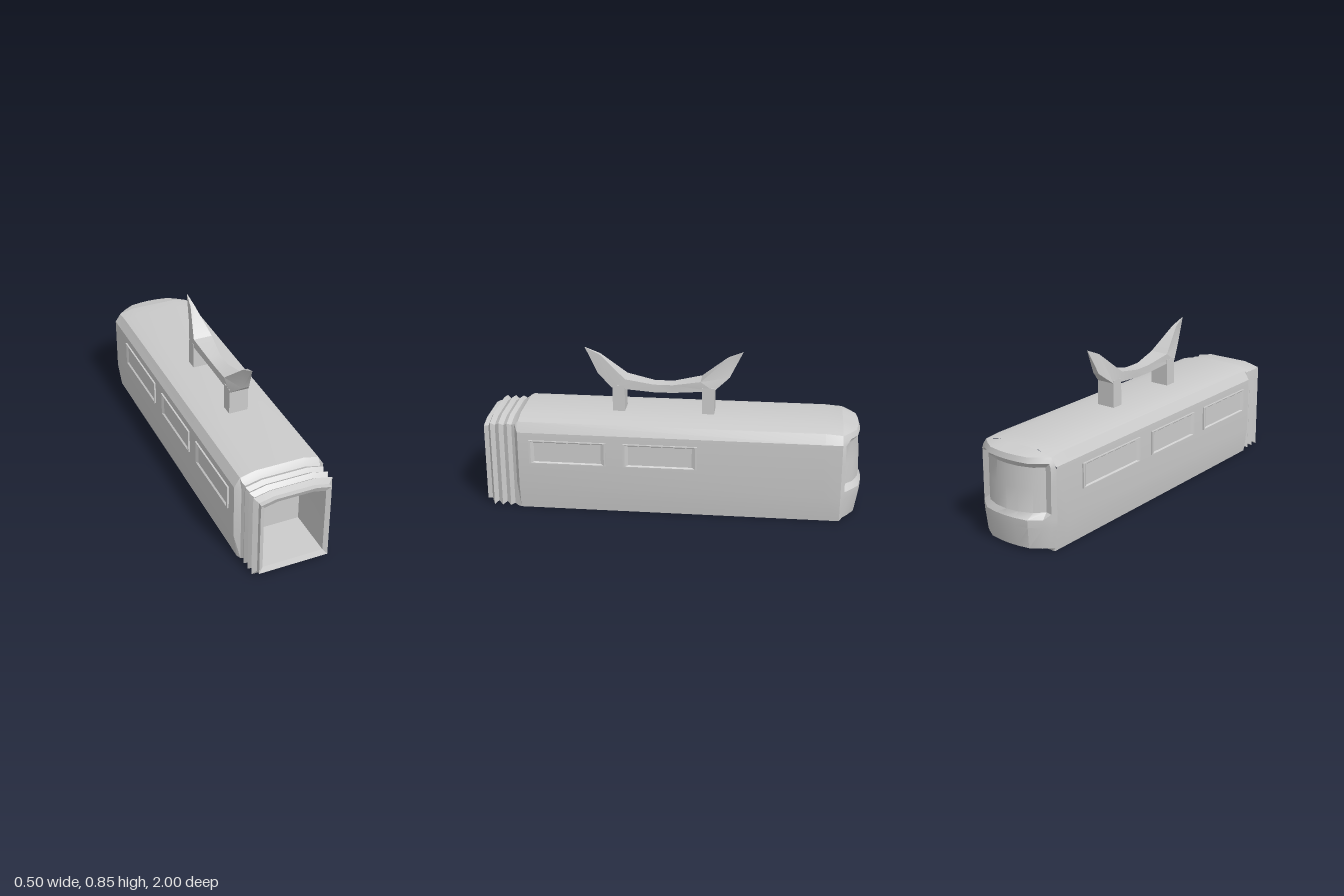
import * as THREE from 'three';
import { toCreasedNormals } from 'three/addons/utils/BufferGeometryUtils.js';

const material = new THREE.MeshStandardMaterial({ color: 0xcccccc });

// Skins a list of point rows; closed rows become tubes, with optional flat caps.
function loft(rings, { closed = true, capStart = false, capEnd = false, crease = 0.45 } = {}) {
  const pos = [];
  const tri = (a, b, c) => pos.push(...a, ...b, ...c);
  const n = rings[0].length;
  for (let i = 0; i < rings.length - 1; i++) {
    for (let j = 0; j < (closed ? n : n - 1); j++) {
      const k = (j + 1) % n;
      const a = rings[i][j], b = rings[i][k], c = rings[i + 1][k], d = rings[i + 1][j];
      tri(a, d, b);
      tri(b, d, c);
    }
  }
  const last = rings[rings.length - 1];
  for (let j = 1; j < n - 1; j++) {
    if (capStart) tri(rings[0][0], rings[0][j], rings[0][j + 1]);
    if (capEnd) tri(last[0], last[j + 1], last[j]);
  }
  const geo = new THREE.BufferGeometry();
  geo.setAttribute('position', new THREE.Float32BufferAttribute(pos, 3));
  return toCreasedNormals(geo, crease);
}

function part(name, geo) {
  const mesh = new THREE.Mesh(geo, material);
  mesh.name = name;
  return mesh;
}

// Mirrors a half profile (bottom to top on +x) into a full ring at z.
function ring(half, z, s = 1, dy = 0) {
  const right = half.map(([x, y]) => [x * s, 0.25 + (y - 0.25) * s + (y > 0.48 ? dy : 0), z]);
  const left = right.map(([x, y]) => [-x, y, z]).reverse();
  return [...right, ...left];
}

const BODY = [[0.22, 0], [0.24, 0.14], [0.24, 0.44], [0.21, 0.49], [0.13, 0.51]];
const BELLOWS = [[0.21, 0], [0.21, 0.14], [0.21, 0.43], [0.208, 0.475], [0.12, 0.495]];
const NOSE_Z = -0.89;

// Open gangway, folded bellows and long body as one continuous skin
function hull() {
  const folds = [
    [0.72, 0.78], [0.988, 0.78], [1, 0.89], [0.975, 0.89], [0.96, 1], [0.938, 0.93],
    [0.915, 1], [0.892, 0.94], [0.87, 1], [0.848, 0.96], [0.83, 1],
  ];
  return loft([
    ...folds.map(([z, s]) => ring(BELLOWS, z, s)),
    ring(BODY, 0.81),
    ring(BODY, -0.8),
    ring(BODY, NOSE_Z, 1, -0.007),
  ], { capStart: true });
}

// Chamfered cab end with a recessed, bowed windscreen
function nose() {
  const shell = [[0.24, NOSE_Z], [0.22, -0.91], [0.19, -0.938], [0.13, -0.983], [0.06, -0.996], [0, -1]];
  const screen = [[0.24, NOSE_Z], [0.22, -0.91], [0.185, -0.905], [0.14, -0.95], [0.07, -0.978], [0, -0.986]];
  const row = (plan, y, widthScale, pull, roof) => {
    const half = plan.map(([x, z]) => {
      const px = x * widthScale;
      const py = roof ? 0.503 - Math.max(0, px - 0.13) * 0.25 : y;
      return [px, py, NOSE_Z + (z - NOSE_Z) * pull];
    });
    return [...half, ...half.slice(0, -1).reverse().map(([x, y2, z]) => [-x, y2, z])];
  };
  return loft([
    row(shell, 0, 0.875, 0, true),
    row(shell, 0.483, 0.875, 0.76),
    row(shell, 0.455, 0.96, 0.84),
    row(screen, 0.43, 1, 0.86),
    row(screen, 0.32, 1, 0.96),
    row(screen, 0.2, 1, 1),
    row(shell, 0.17, 1, 1),
    row(shell, 0.13, 1, 0.98),
    row(shell, 0.015, 0.925, 0.8),
    row(shell, 0, 0.917, 0),
  ], { closed: false });
}

// Raised window frame with a sloping reveal and sunken pane
function sideWindow(length) {
  const rect = (w, h, z) => [[w / 2, -h / 2, z], [w / 2, h / 2, z], [-w / 2, h / 2, z], [-w / 2, -h / 2, z]];
  return loft([
    rect(length - 0.055, 0.108, 0.002),
    rect(length - 0.02, 0.12, 0.01),
    rect(length, 0.13, 0.01),
    rect(length, 0.13, -0.005),
  ], { capStart: true, crease: 0.1 });
}

// Curved roof collector with pointed, upswept horns
function collectorBow() {
  // Upper z, y, half width, then lower z, y, half width
  const front = [
    [0.48, 0.845, 0.001, 0.479, 0.844, 0.001],
    [0.40, 0.81, 0.012, 0.41, 0.707, 0.018],
    [0.26, 0.69, 0.052, 0.33, 0.64, 0.052],
    [0.11, 0.66, 0.036, 0.11, 0.617, 0.036],
  ];
  const mid = 0.06;
  const back = front.map(([a, b, c, d, e, f]) => [2 * mid - a, b, c, 2 * mid - d, e, f]).reverse();
  const rings = [...front, ...back].map(([uz, uy, uw, lz, ly, lw]) =>
    [[uw, uy, uz], [-uw, uy, uz], [-lw, ly, lz], [lw, ly, lz]]);
  return loft(rings, { capStart: true, capEnd: true, crease: 0.4 });
}

export function createModel() {
  const model = new THREE.Group();
  model.name = 'railCar';
  model.add(part('bodyAndBellows', hull()), part('cabNose', nose()));

  // Two windows on the left side, three on the right: side, z from, z to
  const windows = [
    [1, 0.34, 0.75], [1, -0.14, 0.25],
    [-1, 0.34, 0.75], [-1, -0.14, 0.25], [-1, -0.7, -0.24],
  ];
  for (const [side, z0, z1] of windows) {
    const pane = part('sideWindow', sideWindow(z1 - z0));
    pane.position.set(side * 0.239, 0.335, (z0 + z1) / 2);
    pane.rotation.y = side * Math.PI / 2;
    model.add(pane);
  }

  // Roof collector on two posts
  const collector = new THREE.Group();
  collector.name = 'roofCollector';
  collector.add(part('collectorBow', collectorBow()));
  for (const z of [0.295, -0.18]) {
    const post = part('collectorPost', new THREE.BoxGeometry(0.104, 0.16, 0.065));
    post.position.set(0, 0.575, z);
    collector.add(post);
  }
  model.add(collector);
  return model;
}
